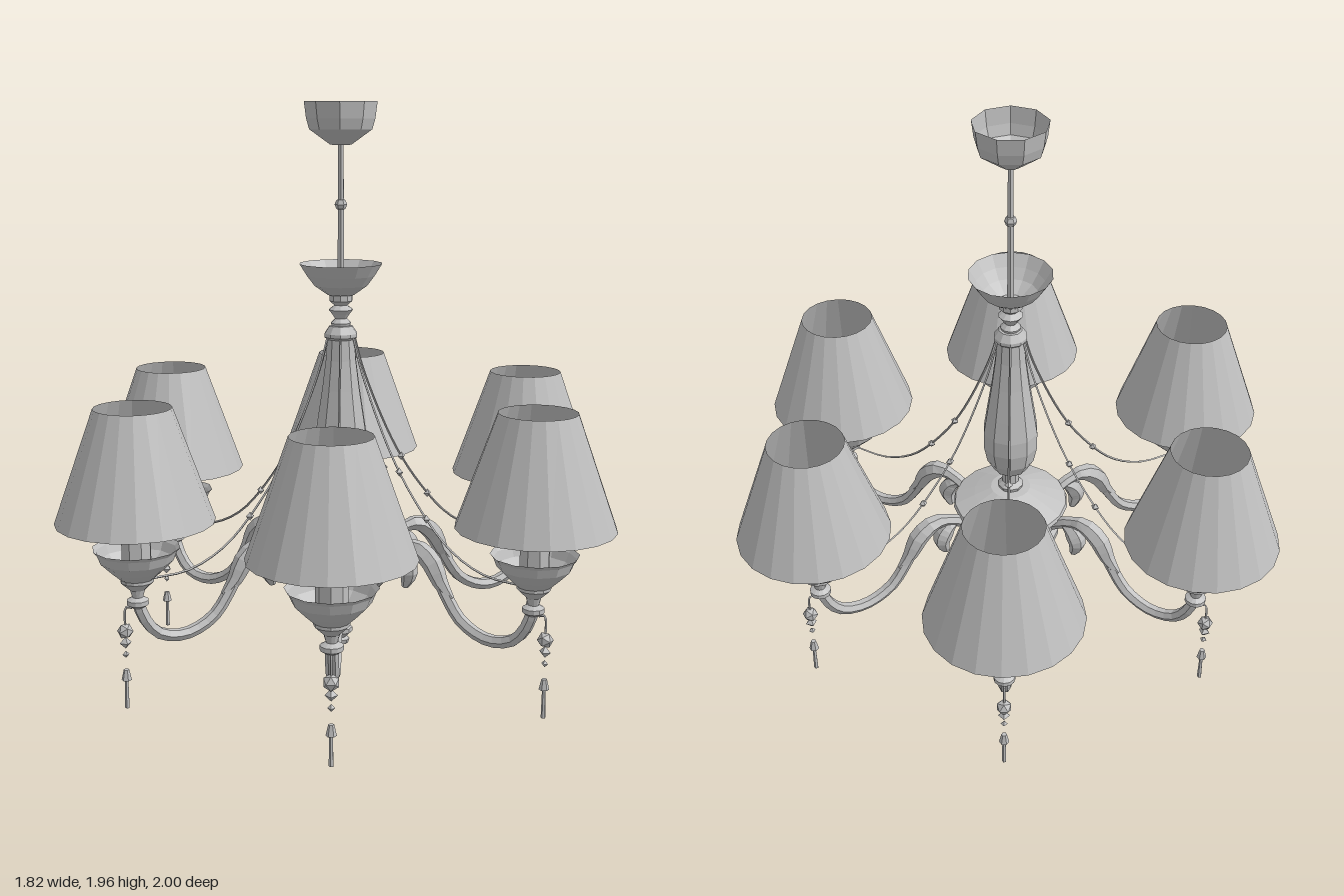
import * as THREE from 'three';

const metal = new THREE.MeshStandardMaterial({ color: 0xc0c0c0, flatShading: true, side: THREE.DoubleSide });
metal.name = 'pale grey';

function add(group, name, geometry, x = 0, y = 0, z = 0) {
  const mesh = new THREE.Mesh(geometry, metal);
  mesh.name = name;
  mesh.position.set(x, y, z);
  group.add(mesh);
  return mesh;
}

// Profile points are [radius, height], listed from bottom to top
function lathe(points, sides) {
  return new THREE.LatheGeometry(points.map(([r, y]) => new THREE.Vector2(r, y)), sides);
}

// Path points are [outward, height]
function tube(points, radius, steps, sides) {
  const path = new THREE.CatmullRomCurve3(points.map(([r, y]) => new THREE.Vector3(r, y, 0)));
  return new THREE.TubeGeometry(path, steps, radius, sides);
}

// Closed leaf: a tube that swells in the middle and tapers to both ends
function leaf(points, radius) {
  const steps = 9, sides = 6;
  const geometry = tube(points, radius, steps, sides);
  const path = geometry.parameters.path;
  const pos = geometry.attributes.position;
  const v = new THREE.Vector3();
  for (let i = 0; i < pos.count; i++) {
    const t = Math.floor(i / (sides + 1)) / steps;
    const centre = path.getPointAt(t);
    const k = 0.35 + 0.65 * Math.sin(Math.PI * t);
    v.fromBufferAttribute(pos, i).sub(centre).multiplyScalar(k).add(centre);
    pos.setXYZ(i, v.x, v.y, v.z);
  }
  return geometry;
}

function createCentre() {
  const g = new THREE.Group();
  g.name = 'centre';

  // Ceiling cup, rod and dish
  add(g, 'ceilingCup', lathe([[0, 1.815], [0.035, 1.815], [0.105, 1.865], [0.115, 1.9], [0.122, 1.955]], 9));
  add(g, 'rod', new THREE.CylinderGeometry(0.01, 0.013, 0.5, 6), 0, 1.57, 0);
  add(g, 'rodKnot', new THREE.SphereGeometry(0.021, 6, 4), 0, 1.62, 0);
  add(g, 'upperDish', lathe([[0, 1.32], [0.045, 1.32], [0.09, 1.352], [0.115, 1.385], [0.14, 1.425]], 14));
  add(g, 'neck', lathe([
    [0.03, 1.21], [0.035, 1.225], [0.02, 1.24], [0.03, 1.255], [0.042, 1.27],
    [0.022, 1.285], [0.04, 1.3], [0.04, 1.32],
  ], 10));

  // Tall vase column
  add(g, 'column', lathe([
    [0.04, 0.54], [0.045, 0.56], [0.03, 0.575], [0.03, 0.615], [0.06, 0.635], [0.085, 0.68],
    [0.097, 0.74], [0.097, 0.8], [0.085, 0.88], [0.066, 1.0], [0.053, 1.1], [0.048, 1.17],
    [0.057, 1.178], [0.057, 1.19], [0.04, 1.215], [0, 1.22],
  ], 10));

  // Hub with grooved rim and pointed underside
  add(g, 'hub', lathe([
    [0.025, 0.175], [0.06, 0.215], [0.105, 0.265], [0.15, 0.32], [0.175, 0.345], [0.175, 0.365],
    [0.14, 0.375], [0.14, 0.41], [0.18, 0.42], [0.185, 0.465], [0.205, 0.475], [0.2, 0.488],
    [0.13, 0.52], [0.07, 0.545], [0, 0.55],
  ], 18));
  add(g, 'finial', lathe([
    [0, 0.09], [0.025, 0.092], [0.03, 0.108], [0.018, 0.115], [0.04, 0.135], [0.04, 0.15],
    [0.022, 0.16], [0.025, 0.18],
  ], 8));
  return g;
}

function createBranch() {
  const g = new THREE.Group();
  const R = 0.74;

  // S-shaped arm with a leaf on its crest and a scroll underneath
  add(g, 'arm', tube([
    [0.17, 0.44], [0.23, 0.475], [0.3, 0.49], [0.36, 0.45], [0.41, 0.36], [0.48, 0.265],
    [0.58, 0.222], [0.67, 0.24], [0.72, 0.3], [R, 0.36],
  ], 0.021, 22, 6));
  add(g, 'armLeaf', leaf([
    [0.22, 0.475], [0.3, 0.49], [0.36, 0.45], [0.4, 0.38], [0.44, 0.335],
  ], 0.034));
  add(g, 'armScroll', leaf([[0.21, 0.47], [0.25, 0.45], [0.275, 0.4], [0.26, 0.345]], 0.033));

  // Cup, candle and shade
  add(g, 'lampCup', lathe([
    [0.02, 0.34], [0.036, 0.35], [0.036, 0.365], [0.018, 0.375], [0.025, 0.4], [0.055, 0.428],
    [0.055, 0.438], [0.085, 0.465], [0.12, 0.5], [0.132, 0.53], [0.143, 0.543],
  ], 12), R);
  add(g, 'candle', new THREE.CylinderGeometry(0.05, 0.05, 0.25, 8), R, 0.575, 0);
  add(g, 'candleTip', new THREE.ConeGeometry(0.05, 0.03, 8), R, 0.715, 0);
  add(g, 'shade', new THREE.CylinderGeometry(0.126, 0.258, 0.372, 20, 1, true), R, 0.816, 0);

  // Hanging crystals on a hook
  const X = 0.785;
  add(g, 'hook', tube([[R + 0.02, 0.34], [X - 0.005, 0.345], [X, 0.33], [X, 0.285]], 0.004, 8, 4));
  add(g, 'crystalBead', new THREE.IcosahedronGeometry(0.027, 0), X, 0.265, 0);
  add(g, 'crystalBead', new THREE.OctahedronGeometry(0.02), X, 0.225, 0);
  add(g, 'crystalBead', new THREE.OctahedronGeometry(0.012), X, 0.185, 0);
  add(g, 'crystalCap', new THREE.CylinderGeometry(0.009, 0.017, 0.035, 6), X, 0.115, 0);
  add(g, 'crystalDrop', new THREE.CylinderGeometry(0.006, 0.008, 0.1, 5), X, 0.05, 0);

  // Drooping chain from the column to the cup, with a few beads
  const chain = tube([
    [0.05, 1.18], [0.085, 1.06], [0.2, 0.8], [0.3, 0.645], [0.43, 0.505], [0.56, 0.44], [0.69, 0.43],
  ], 0.004, 24, 4);
  add(g, 'chain', chain);
  for (const t of [0.45, 0.62]) {
    const p = chain.parameters.path.getPointAt(t);
    add(g, 'chainBead', new THREE.OctahedronGeometry(0.015), p.x, p.y, 0);
  }
  return g;
}

export function createModel() {
  const model = new THREE.Group();
  model.name = 'chandelier';
  model.add(createCentre());

  // Six branches, slightly unevenly spread
  [32, 90.4, 151.5, 211, 271.5, 332.5].forEach((degrees, i) => {
    const branch = createBranch();
    branch.name = 'branch' + (i + 1);
    branch.rotation.y = -THREE.MathUtils.degToRad(degrees);
    model.add(branch);
  });
  model.children.forEach((part) => { part.position.z = -0.005; });
  return model;
}
